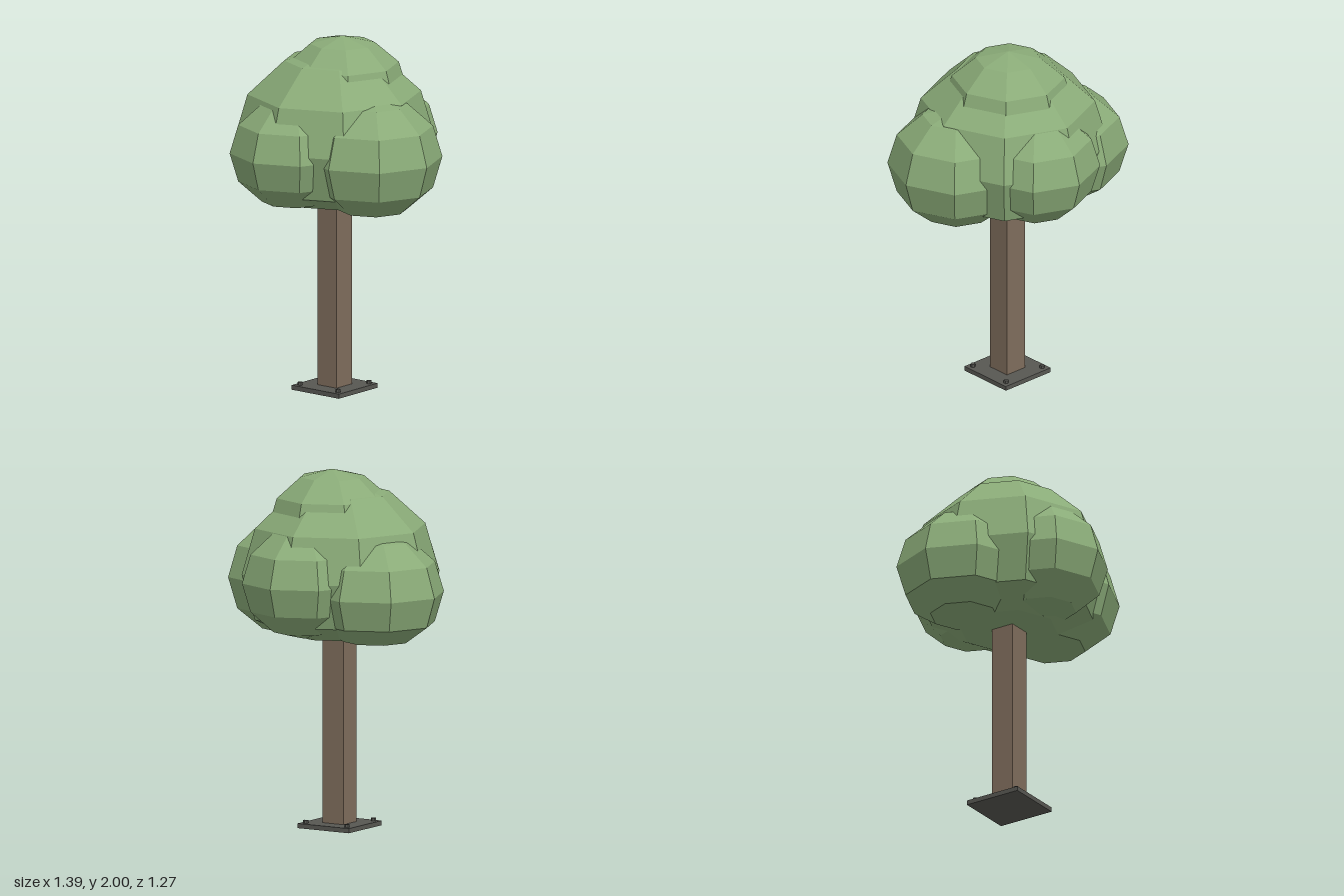
import * as THREE from 'three';

const leaf = new THREE.MeshStandardMaterial({ color: 0x8aab78, flatShading: true });
leaf.name = 'leaf green';
const bark = new THREE.MeshStandardMaterial({ color: 0x7f6d5c, flatShading: true });
bark.name = 'bark brown';
const metal = new THREE.MeshStandardMaterial({ color: 0x575752, flatShading: true });
metal.name = 'plate grey';

const AXIS_X = -0.017; // trunk axis
const CANOPY_BASE = 1.078; // level where the foliage is cut flat

function add(group, name, geometry, material, x, y, z) {
  const mesh = new THREE.Mesh(geometry, material);
  mesh.name = name;
  mesh.position.set(x, y, z);
  group.add(mesh);
  return mesh;
}

// Squashed eight-sided ball with its underside flattened at the canopy base
function foliage(radius, halfHeight, centreY) {
  const geometry = new THREE.SphereGeometry(radius, 8, 6);
  geometry.scale(1, halfHeight / radius, 1);
  const p = geometry.attributes.position;
  for (let i = 0; i < p.count; i++) {
    p.setY(i, Math.max(p.getY(i), CANOPY_BASE - centreY));
  }
  geometry.computeVertexNormals();
  return geometry;
}

export function createModel() {
  const tree = new THREE.Group();
  tree.name = 'tree';

  // Base plate with four corner bolts
  add(tree, 'basePlate', new THREE.BoxGeometry(0.336, 0.026, 0.336), metal, AXIS_X, 0.013, 0);
  const bolt = new THREE.CylinderGeometry(0.014, 0.014, 0.018, 6);
  for (const sx of [-1, 1]) {
    for (const sz of [-1, 1]) {
      add(tree, 'bolt', bolt, metal, AXIS_X + sx * 0.135, 0.034, sz * 0.135);
    }
  }

  // Square trunk
  add(tree, 'trunk', new THREE.BoxGeometry(0.136, 1.1, 0.136), bark, AXIS_X, 0.576, 0);

  // Canopy: name, x, y, z, radius, half height
  const clumps = [
    ['mainFoliage', -0.02, 1.425, 0, 0.555, 0.51],
    ['topFoliage', 0.01, 1.69, -0.035, 0.36, 0.31],
    ['leftFoliage', 0.305, 1.37, 0.06, 0.385, 0.35],
    ['rightFoliage', -0.32, 1.343, -0.095, 0.38, 0.335],
    ['frontFoliage', -0.08, 1.385, 0.277, 0.356, 0.32],
    ['backFoliage', 0.03, 1.402, -0.28, 0.355, 0.32],
  ];
  for (const [name, x, y, z, r, h] of clumps) {
    add(tree, name, foliage(r, h, y), leaf, x, y, z);
  }
  return tree;
}
